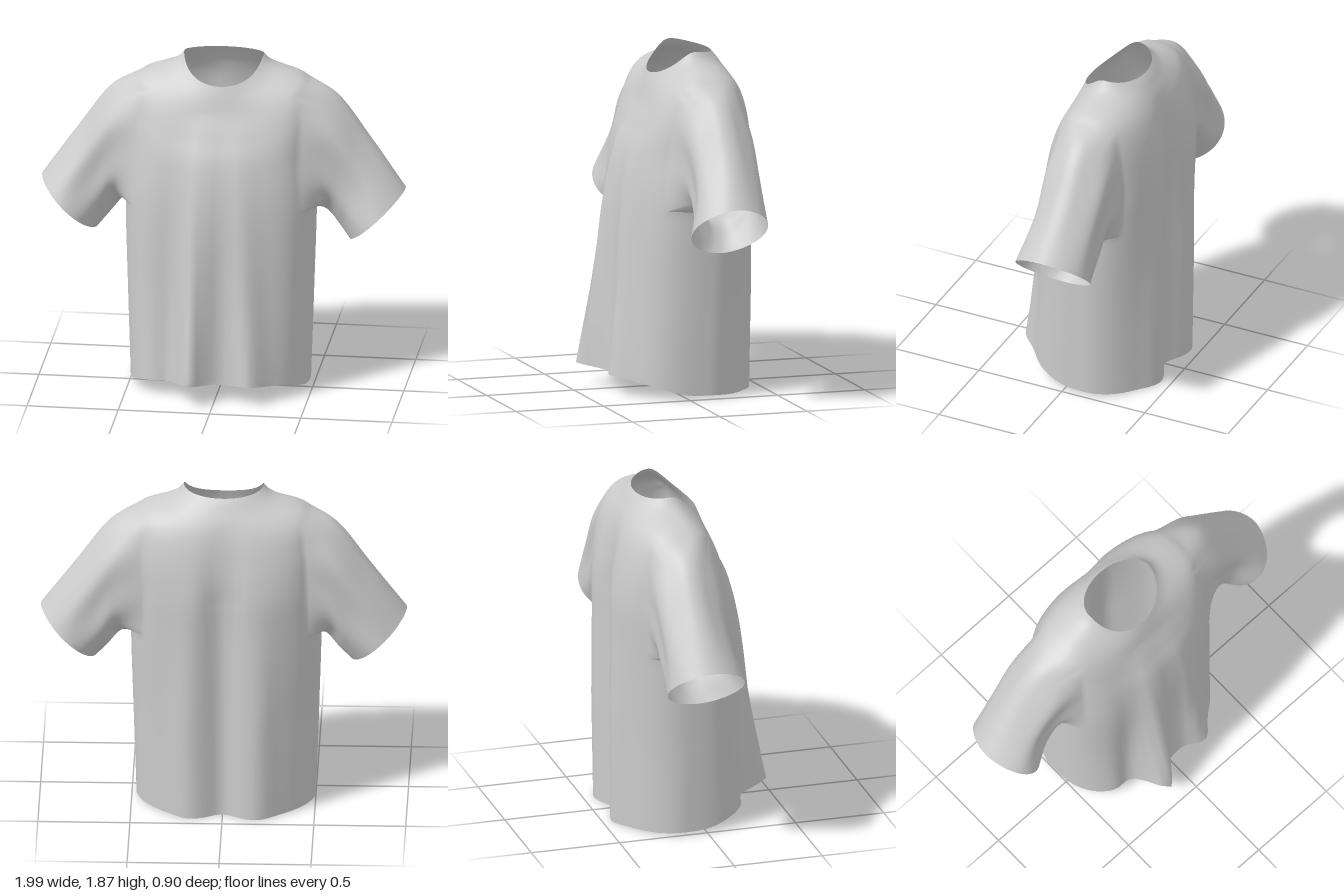
import * as THREE from 'three';

const COLS = 96, STEP = 8;            // columns around the body, rows per key ring
const ARM = 9, ROW0 = 16, ROW1 = 40;  // armhole block: half width in columns, row range
const SLEEVE_ROWS = 26, ZC = -0.12;

// Key rings, hem to neckline: half width, front z, back z, front y, side y, back y,
// front roundness, back roundness, how fast y leaves the side
const RINGS = [
  [0.488, 0.30, -0.45, 0.105, 0.025, 0.008, 0.7, 1.05, 1],
  [0.505, 0.27, -0.45, 0.55, 0.55, 0.55, 0.7, 0.98, 1],
  [0.518, 0.25, -0.45, 1.05, 1.05, 1.05, 0.7, 0.85, 0.5],
  [0.505, 0.215, -0.45, 1.32, 1.33, 1.32, 0.7, 0.75, 0],
  [0.50, 0.165, -0.42, 1.47, 1.60, 1.52, 0.72, 0.72, 0],
  [0.46, 0.122, -0.375, 1.585, 1.745, 1.68, 0.8, 0.8, 0],
  [0.275, 0.09, -0.305, 1.69, 1.825, 1.81, 0.95, 0.95, 0.4],
  [0.218, 0.07, -0.27, 1.745, 1.878, 1.857, 1, 1, 0.8],
];
const ROWS = (RINGS.length - 1) * STEP;

// Sleeve sections: top point, bottom point, centre z, half depth
const SECTIONS = [
  { top: [0.61, 1.665], bottom: [0.575, 0.99], z: -0.135, depth: 0.195 },
  { top: [0.80, 1.415], bottom: [0.63, 0.92], z: -0.135, depth: 0.187 },
  { top: [0.995, 1.14], bottom: [0.69, 0.85], z: -0.11, depth: 0.215 },
];

const bump = (x, centre, width) => Math.exp(-(((x - centre) / width) ** 2));
const clamp01 = (v) => Math.min(1, Math.max(0, v));
const power = (v, p) => Math.sign(v) * Math.abs(v) ** p;

function spline(k, column) {
  const i = Math.min(Math.floor(k), RINGS.length - 2), t = k - i;
  const at = (n) => RINGS[Math.min(RINGS.length - 1, Math.max(0, n))][column];
  const p1 = at(i), p2 = at(i + 1), m1 = (p2 - at(i - 1)) / 2, m2 = (at(i + 2) - p1) / 2;
  const t2 = t * t, t3 = t2 * t;
  return (2 * t3 - 3 * t2 + 1) * p1 + (t3 - 2 * t2 + t) * m1 + (3 * t2 - 2 * t3) * p2 + (t3 - t2) * m2;
}

// Hanging folds: ridges on the front that deepen to the hem, a groove between two ridges on the back
function fold(x, y, front) {
  if (front) {
    const k = clamp01((1.6 - y) / 1.5);
    return k * (0.15 * bump(x, -0.07 - 0.06 * k, 0.07) + 0.08 * bump(x, 0.1 + 0.1 * k, 0.08)
      - 0.04 * bump(x, -0.26, 0.07));
  }
  const k = clamp01((1.75 - y) / 0.45), low = clamp01((1.4 - y) / 0.8);
  return k * 0.07 * bump(x, 0, 0.09) - low * 0.03 * (bump(x, 0.21, 0.08) + bump(x, -0.21, 0.08));
}

function bodyPoint(i, j) {
  const k = j / STEP, angle = (i / COLS) * Math.PI * 2;
  const [a, front, back, yf, ys, yb, pf, pb, spread] = RINGS[0].map((_, c) => spline(k, c));
  const c = Math.cos(angle), s = Math.sin(angle), isFront = s > 0;
  const p = isFront ? pf : pb;
  const x = a * power(c, p) - 0.013 * clamp01(4 - k); // the body hangs slightly to one side
  const mix = THREE.MathUtils.lerp(s * s, (1.5 * s * s) / (s * s + 0.5), spread);
  const y = ys + ((isFront ? yf : yb) - ys) * mix;
  const depth = isFront ? front - ZC : ZC - back;
  const drape = fold(x, y, isFront) * Math.abs(s);
  const lift = isFront ? 0.2 * drape * clamp01(1 - k) : 0; // hem rises where folds swing out
  return new THREE.Vector3(x, y + lift, ZC + depth * power(s, p) + drape);
}

// Grid indices around one armhole, centred on the given column
function armholeLoop(centre, id) {
  const loop = [];
  for (let i = -ARM; i < ARM; i++) loop.push(id(centre + i, ROW0));
  for (let j = ROW0; j < ROW1; j++) loop.push(id(centre + ARM, j));
  for (let i = ARM; i > -ARM; i--) loop.push(id(centre + i, ROW1));
  for (let j = ROW1; j > ROW0; j--) loop.push(id(centre - ARM, j));
  return loop;
}

export function createModel() {
  const points = [];
  const id = (i, j) => j * COLS + ((i + COLS) % COLS);
  const quad = (out, a, b, c, d) => out.push(a, c, b, b, c, d);

  // Body from hem to neckline, leaving both armholes open
  for (let j = 0; j <= ROWS; j++) for (let i = 0; i < COLS; i++) points.push(bodyPoint(i, j));
  const body = [];
  const inArmhole = (i, j) => {
    const half = COLS / 2, d = ((i + half / 2) % half) - half / 2;
    return j >= ROW0 && j < ROW1 && d >= -ARM && d < ARM;
  };
  for (let j = 0; j < ROWS; j++) {
    for (let i = 0; i < COLS; i++) {
      if (!inArmhole(i, j)) quad(body, id(i, j), id(i + 1, j), id(i, j + 1), id(i + 1, j + 1));
    }
  }

  // Sleeves grow from the armhole edge through the sections to the cuff
  function buildSleeve(side, centre) {
    const index = [], loop = armholeLoop(centre, id), n = loop.length, start = points.length;
    const curves = loop.map((v) => {
      const p = points[v];
      const phi = Math.atan2((p.y - 1.4) / 0.35, (p.z - ZC) / 0.22);
      const sin = Math.sin(phi), cos = Math.cos(phi);
      const path = SECTIONS.map(({ top, bottom, z, depth }) => new THREE.Vector3(
        side * ((top[0] + bottom[0]) / 2 + (sin * (top[0] - bottom[0])) / 2),
        (top[1] + bottom[1]) / 2 + (sin * (top[1] - bottom[1])) / 2,
        z + power(cos, 1.15) * depth));
      return { phi, curve: new THREE.CatmullRomCurve3([p, ...path]) };
    });
    for (let r = 1; r <= SLEEVE_ROWS; r++) {
      const t = r / SLEEVE_ROWS;
      for (const { phi, curve } of curves) {
        const p = curve.getPoint(t);
        p.z -= 0.013 * Math.sin(Math.PI * t) * Math.cos(phi) * Math.cos(6 * phi); // soft creases
        points.push(p);
      }
    }
    const at = (r, q) => (r === 0 ? loop[q % n] : start + (r - 1) * n + (q % n));
    for (let r = 0; r < SLEEVE_ROWS; r++) {
      for (let q = 0; q < n; q++) quad(index, at(r, q), at(r, q + 1), at(r + 1, q), at(r + 1, q + 1));
    }
    return index;
  }
  const parts = {
    body,
    leftSleeve: buildSleeve(1, 0),
    rightSleeve: buildSleeve(-1, COLS / 2),
  };

  // Normals are computed over the whole garment so the armholes blend smoothly
  const whole = new THREE.BufferGeometry().setFromPoints(points);
  whole.setIndex(Object.values(parts).flat());
  whole.computeVertexNormals();

  const cloth = new THREE.MeshStandardMaterial({ color: 0xcccccc, side: THREE.DoubleSide });
  cloth.name = 'light grey cloth';
  const shirt = new THREE.Group();
  shirt.name = 'shirt';
  for (const [name, index] of Object.entries(parts)) {
    const geometry = new THREE.BufferGeometry();
    geometry.setAttribute('position', whole.getAttribute('position'));
    geometry.setAttribute('normal', whole.getAttribute('normal'));
    geometry.setIndex(index);
    const mesh = new THREE.Mesh(geometry, cloth);
    mesh.name = name;
    shirt.add(mesh);
  }
  return shirt;
}
